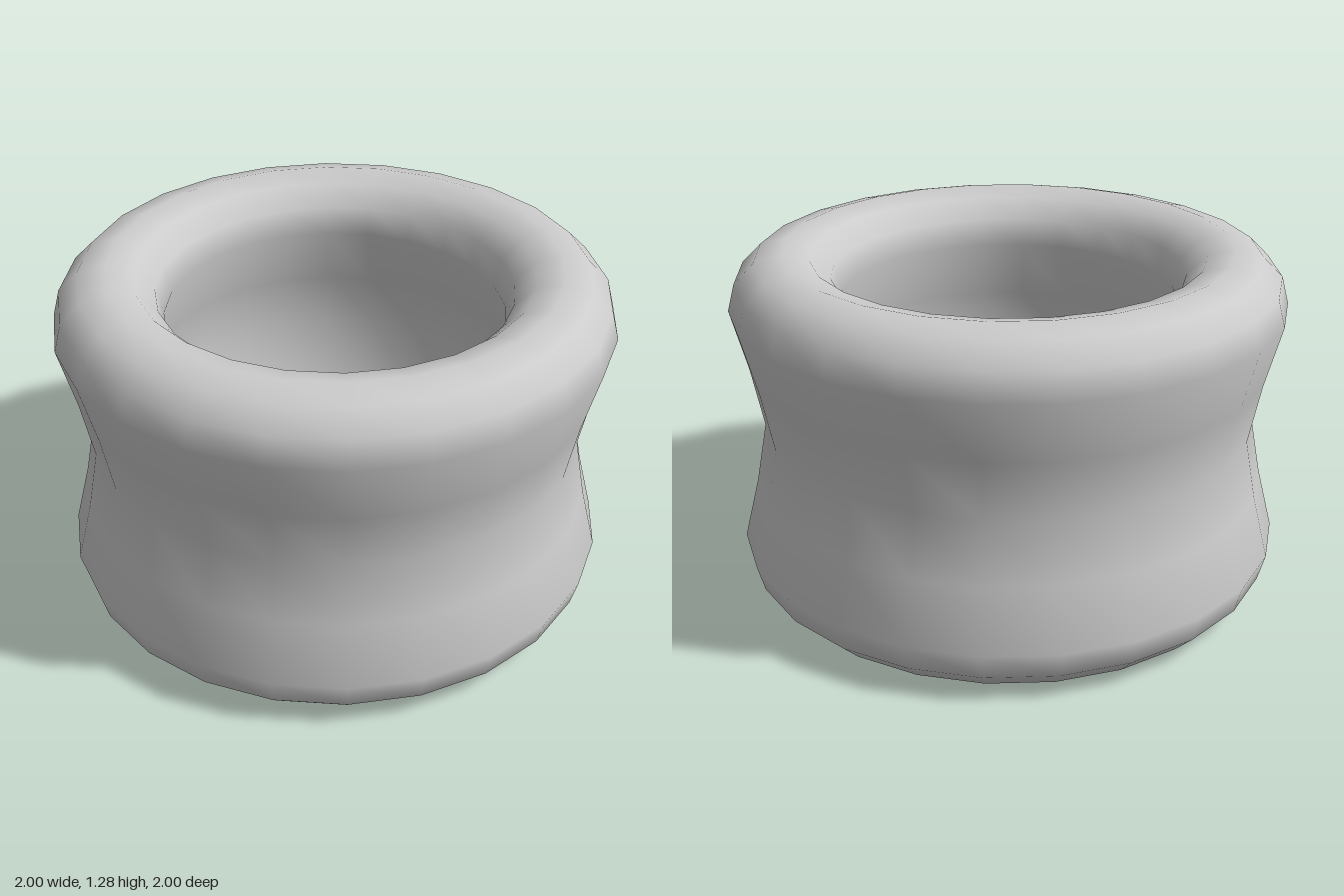
import * as THREE from 'three';
import { mergeVertices } from 'three/addons/utils/BufferGeometryUtils.js';

const HEIGHT = 1.28, RING = 0.805, TUBE = 0.195, SIDES = 24;

export function createModel() {
  const group = new THREE.Group();
  group.name = 'waistedRing';

  // Closed wall section, counter-clockwise: rounded lips joined by a wall pinched at mid height
  const profile = [];
  const lip = (y, start) => {
    for (let i = 0; i <= 6; i++) {
      const a = start + (i * Math.PI) / 6;
      profile.push(new THREE.Vector2(RING + TUBE * Math.cos(a), y + TUBE * Math.sin(a)));
    }
  };
  const wall = (points) => points.forEach(([r, y]) => profile.push(new THREE.Vector2(r, y)));

  lip(TUBE, Math.PI);
  wall([[0.942, 0.42], [0.9, 0.64], [0.942, 0.86]]);
  lip(HEIGHT - TUBE, 0);
  wall([[0.668, 0.86], [0.71, 0.64], [0.668, 0.42]]);
  profile.push(profile[0].clone());

  // Weld the seams so the shading is smooth all round
  let geometry = new THREE.LatheGeometry(profile, SIDES);
  geometry.deleteAttribute('uv');
  geometry.deleteAttribute('normal');
  geometry = mergeVertices(geometry, 1e-4);
  geometry.computeVertexNormals();

  const ring = new THREE.Mesh(geometry, new THREE.MeshStandardMaterial({ color: 0xcccccc }));
  ring.name = 'ringBody';
  group.add(ring);
  return group;
}
